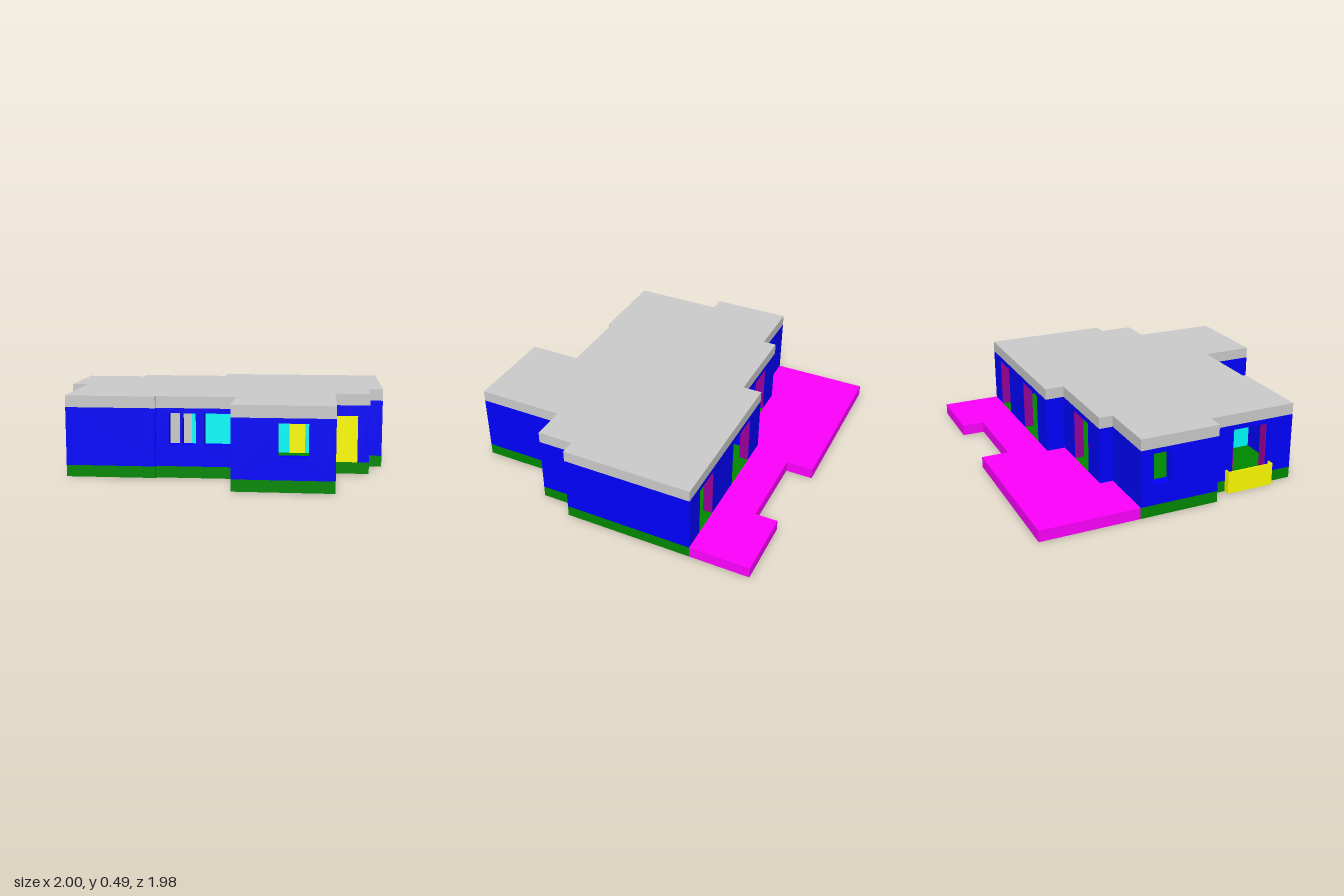
import * as THREE from 'three';

const FLOOR = 0.07, CEIL = 0.42, TOP = 0.49, T = 0.06;
const mat = (color) => new THREE.MeshStandardMaterial({ color, flatShading: true });
const GREY = mat(0xcccccc), BLUE = mat(0x0000ff), GREEN = mat(0x008800), MAGENTA = mat(0xff00ff),
  PURPLE = mat(0x990099), YELLOW = mat(0xffff00), CYAN = mat(0x00ffff);

// House footprint as [x, z] corners, back left first
const HOUSE = [
  [-1, -0.38], [-0.62, -0.38], [-0.62, -0.465], [-0.055, -0.465], [-0.055, -0.585], [1, -0.585],
  [1, 0.22], [0.91, 0.22], [0.91, 0.445], [0.7, 0.445], [0.7, 0.985], [0.115, 0.985],
  [0.115, 0.66], [-0.36, 0.66], [-0.36, 0.68], [-0.9, 0.68], [-0.9, 0.115], [-1, 0.115],
];
const TERRACE = [
  [-1, -0.99], [0.03, -0.99], [0.03, -0.82], [0.57, -0.82], [0.57, -0.96], [1, -0.96],
  [1, -0.585], [-0.055, -0.585], [-0.055, -0.465], [-0.62, -0.465], [-0.62, -0.38], [-1, -0.38],
];

// Openings per footprint edge: [start, end] measured along the edge
const DOORS = {
  2: [[0.17, 0.395]],
  4: [[0.165, 0.435], [0.725, 0.915]],
  8: [[0.07, 0.2]],
  15: [[0.18, 0.41]],
};
const WINDOWS = {
  10: [[0.15, 0.32]],
  12: [[0.015, 0.185], [0.235, 0.315], [0.33, 0.395]],
  17: [[0.305, 0.415]],
};
const ENTRANCE = 8;

function box(name, material, x0, x1, y0, y1, z0, z1) {
  const mesh = new THREE.Mesh(new THREE.BoxGeometry(x1 - x0, y1 - y0, z1 - z0), material);
  mesh.position.set((x0 + x1) / 2, (y0 + y1) / 2, (z0 + z1) / 2);
  mesh.name = name;
  return mesh;
}

// Flat plate with the given plan outline
function plate(name, material, outline, y0, y1) {
  const shape = new THREE.Shape(outline.map(([x, z]) => new THREE.Vector2(x, -z)));
  const geo = new THREE.ExtrudeGeometry(shape, { depth: y1 - y0, bevelEnabled: false });
  geo.rotateX(-Math.PI / 2).translate(0, y0, 0);
  const mesh = new THREE.Mesh(geo, material);
  mesh.name = name;
  return mesh;
}

// True where the footprint corner turns back into the house
function isConcave(i) {
  const n = HOUSE.length;
  const [a, b, c] = [HOUSE[(i + n - 1) % n], HOUSE[i % n], HOUSE[(i + 1) % n]];
  return (b[0] - a[0]) * (c[1] - b[1]) - (b[1] - a[1]) * (c[0] - b[0]) < 0;
}

// Outer wall along one footprint edge, thickened inwards
function outerWall(i) {
  const [ax, az] = HOUSE[i], [bx, bz] = HOUSE[(i + 1) % HOUSE.length];
  const length = Math.hypot(bx - ax, bz - az);
  const s0 = isConcave(i) ? -T : 0, s1 = length + (isConcave(i + 1) ? T : 0);
  const doorTop = i === ENTRANCE ? 0.355 : 0.39;
  const group = new THREE.Group();
  group.name = 'outerWall';

  const shape = new THREE.Shape();
  shape.moveTo(s0, FLOOR);
  for (const [a, b] of DOORS[i] || []) {
    shape.lineTo(a, FLOOR).lineTo(a, doorTop).lineTo(b, doorTop).lineTo(b, FLOOR);
    if (i === ENTRANCE) {
      group.add(box('entranceDoor', YELLOW, a, b, FLOOR, doorTop, 0.005, 0.04));
    } else {
      group.add(box('doorJamb', PURPLE, a, a + 0.006, FLOOR, doorTop, 0.002, T));
      group.add(box('doorJamb', PURPLE, b - 0.006, b, FLOOR, doorTop, 0.002, T));
    }
  }
  shape.lineTo(s1, FLOOR).lineTo(s1, CEIL).lineTo(s0, CEIL).closePath();
  for (const [a, b] of WINDOWS[i] || []) {
    const hole = new THREE.Path();
    hole.moveTo(a, 0.2).lineTo(a, 0.39).lineTo(b, 0.39).lineTo(b, 0.2).closePath();
    shape.holes.push(hole);
  }
  const wall = new THREE.Mesh(new THREE.ExtrudeGeometry(shape, { depth: T, bevelEnabled: false }), BLUE);
  wall.name = 'wallPanel';
  group.add(wall);
  group.position.set(ax, 0, az);
  group.rotation.y = Math.atan2(az - bz, bx - ax);
  return group;
}

export function createModel() {
  const model = new THREE.Group();
  model.name = 'house';

  // Base, terrace and roof
  model.add(plate('floorSlab', GREEN, HOUSE, 0, FLOOR));
  model.add(plate('terrace', MAGENTA, TERRACE, 0, FLOOR));
  model.add(plate('roof', GREY, HOUSE, CEIL, TOP));

  // Outer walls
  HOUSE.forEach((_, i) => model.add(outerWall(i)));

  // Inner partitions and inner door
  model.add(box('partition', CYAN, -0.21, 0.94, FLOOR, CEIL, 0.14, 0.17));
  model.add(box('partition', CYAN, 0.58, 0.94, FLOOR, CEIL, -0.3, -0.27));
  model.add(box('partition', CYAN, -0.52, -0.49, FLOOR, CEIL, 0.17, 0.62));
  model.add(box('greyPartition', GREY, -0.84, -0.21, FLOOR, CEIL, 0.14, 0.17));
  model.add(box('innerDoor', YELLOW, 0.42, 0.52, FLOOR, 0.355, 0.135, 0.175));

  // Small balcony on the right-hand side
  const balcony = new THREE.Group();
  balcony.name = 'balcony';
  balcony.add(box('balconyFloor', YELLOW, -0.94, -0.9, 0, FLOOR, 0.225, 0.53));
  balcony.add(box('balconyFront', YELLOW, -0.94, -0.932, FLOOR, 0.14, 0.225, 0.53));
  for (const z of [0.225, 0.522]) {
    balcony.add(box('balconySide', YELLOW, -0.932, -0.9, FLOOR, 0.14, z, z + 0.008));
  }
  model.add(balcony);
  return model;
}
